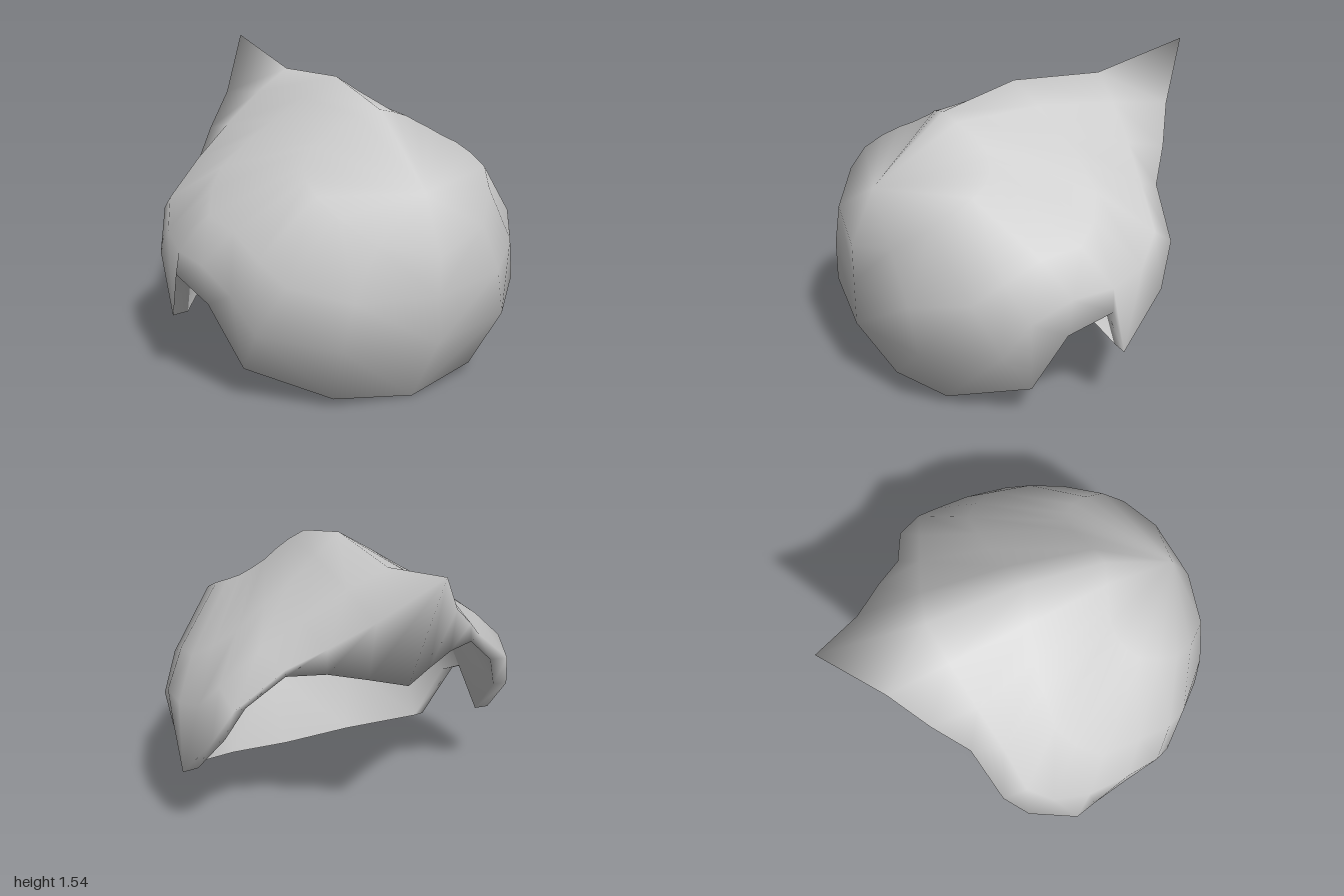
import * as THREE from 'three';

// Half rings of the cap on the +x side, each running from the front centre,
// round the side, to the back centre. Points are [x, y, z].
const crownRing = [
  [0, 0.8, 1], [0.3, 0.88, 0.93], [0.44, 1.01, 0.79], [0.49, 1.09, 0.68], [0.48, 1.14, 0.58], [0.45, 1.18, 0.49],
  [0.4, 1.21, 0.44], [0.34, 1.25, 0.41], [0.27, 1.29, 0.4], [0.19, 1.335, 0.42], [0.1, 1.37, 0.45], [0, 1.4, 0.47],
];
const middleRing = [
  [0, 0.6, 1], [0.42, 0.62, 0.91], [0.66, 0.68, 0.7], [0.74, 0.79, 0.57], [0.77, 0.88, 0.38], [0.79, 0.91, 0.17],
  [0.72, 0.99, 0.05], [0.62, 1.08, -0.03], [0.46, 1.2, -0.03], [0.32, 1.285, -0.02], [0.16, 1.39, 0.01], [0, 1.49, 0.06],
];
const lowerRing = [
  [0, 0.36, 1], [0.47, 0.38, 0.89], [0.77, 0.42, 0.59], [0.84, 0.6, 0.48], [0.89, 0.7, 0.28], [0.91, 0.71, 0.06],
  [0.88, 0.76, -0.13], [0.81, 0.89, -0.25], [0.62, 1.06, -0.3], [0.42, 1.2, -0.36], [0.2, 1.34, -0.42], [0, 1.44, -0.46],
];
// Edge with the side lock (index 5) and the raised back spike (last points)
const rim = [
  [0, 0, 0.79], [0.41, 0.05, 0.71], [0.75, 0.18, 0.42], [0.87, 0.5, 0.29], [0.94, 0.6, 0.08], [0.93, 0.35, 0],
  [0.87, 0.6, -0.26], [0.79, 0.8, -0.37], [0.55, 1, -0.45], [0.4, 1.13, -0.6], [0.22, 1.28, -0.75], [0, 1.54, -1],
];
// Inner edge below the spike
const nape = [[0.71, 0.79, -0.33], [0.53, 0.95, -0.41], [0.35, 0.96, -0.5], [0.17, 0.93, -0.59], [0, 0.9, -0.68]];

const pole = [0, 1.08, 0.87];

// Shrinks a point toward the middle of the head, giving the inner wall
const inset = ([x, y, z]) => [x * 0.92, 0.7 + (y - 0.7) * 0.92, 0.1 + (z - 0.1) * 0.92];

// Completes a half ring with its mirror image
const mirrorRing = (half) => [...half, ...half.slice(1, -1).reverse().map(([x, y, z]) => [-x, y, z])];

function createShell() {
  const innerRim = [
    ...rim.slice(0, 7).map(([x, y, z]) => [x * 0.91, y + 0.005, z * 0.96]),
    ...nape,
  ];
  // Outside from the pole to the rim, then back up the inside
  const rings = [
    crownRing, middleRing, lowerRing, rim, innerRim,
    lowerRing.map(inset), middleRing.map(inset), crownRing.map(inset),
  ].map(mirrorRing);
  const n = rings[0].length;
  const points = [...rings.flat(), pole, inset(pole)];
  const outerPole = points.length - 2;
  const innerPole = points.length - 1;
  const index = [];

  for (let j = 0; j < n; j++) {
    const k = (j + 1) % n;
    index.push(outerPole, j, k);
    for (let r = 0; r < rings.length - 1; r++) {
      const a = r * n + j, b = r * n + k, c = a + n, d = b + n;
      // Diagonals mirror across the middle plane
      if (j < n / 2) index.push(a, c, b, b, c, d);
      else index.push(a, c, d, a, d, b);
    }
    const last = (rings.length - 1) * n;
    index.push(innerPole, last + k, last + j);
  }

  const geometry = new THREE.BufferGeometry();
  geometry.setAttribute('position', new THREE.Float32BufferAttribute(points.flat(), 3));
  geometry.setIndex(index);
  geometry.computeVertexNormals();
  return geometry;
}

export function createModel() {
  const group = new THREE.Group();
  group.name = 'hairCap';
  const material = new THREE.MeshStandardMaterial({ color: 0xcccccc });
  const shell = new THREE.Mesh(createShell(), material);
  shell.name = 'hairShell';
  group.add(shell);
  return group;
}
